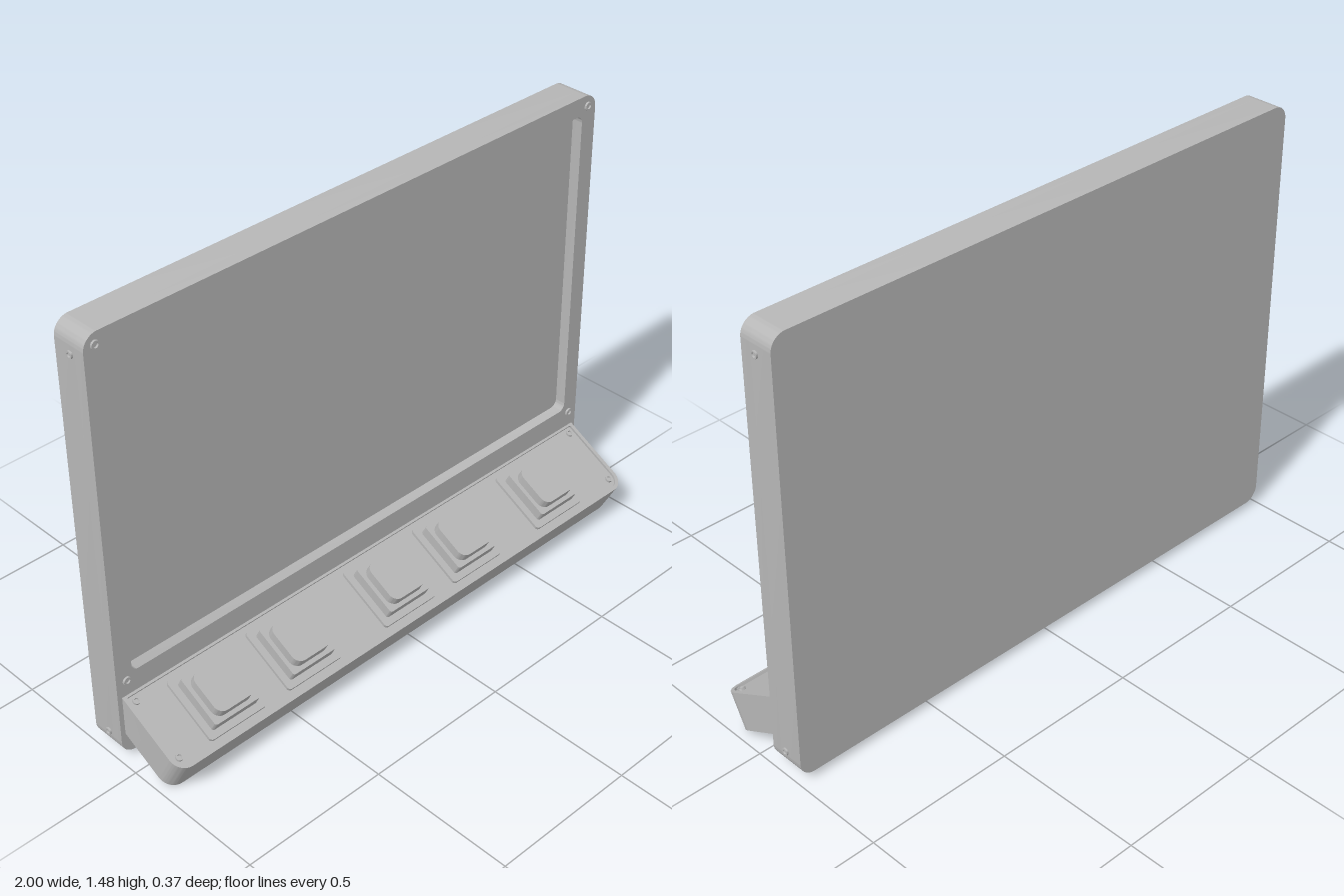
import * as THREE from 'three';
import { toCreasedNormals } from 'three/addons/utils/BufferGeometryUtils.js';

const grey = new THREE.MeshStandardMaterial({ color: 0xb6b6b6 });
grey.name = 'casing grey';

// Rounded rectangle; the top corners (high y) may have their own radius
function roundedRect(x0, y0, x1, y1, r, rTop = r, Type = THREE.Shape) {
  const s = new Type();
  s.moveTo(x0 + r, y0);
  s.lineTo(x1 - r, y0);
  s.absarc(x1 - r, y0 + r, r, -Math.PI / 2, 0);
  s.lineTo(x1, y1 - rTop);
  if (rTop > 0) s.absarc(x1 - rTop, y1 - rTop, rTop, 0, Math.PI / 2);
  s.lineTo(x0 + rTop, y1);
  if (rTop > 0) s.absarc(x0 + rTop, y1 - rTop, rTop, Math.PI / 2, Math.PI);
  s.lineTo(x0, y0 + r);
  s.absarc(x0 + r, y0 + r, r, Math.PI, Math.PI * 1.5);
  return s;
}

// Extrude a shape between two depths along z
function slab(shape, from, to) {
  const g = new THREE.ExtrudeGeometry(shape, { depth: to - from, bevelEnabled: false, curveSegments: 10 });
  g.translate(0, 0, from);
  return toCreasedNormals(g, 0.6);
}

function add(parent, name, geometry) {
  const m = new THREE.Mesh(geometry, grey);
  m.name = name;
  parent.add(m);
  return m;
}

// Small round fastener with its axis along z and a dished head
function screwGeometry(r, h) {
  const pts = [[r, -0.01], [r, h], [r * 0.6, h], [r * 0.5, h * 0.3], [0, h * 0.3]];
  const g = new THREE.LatheGeometry(pts.map(p => new THREE.Vector2(...p)), 16);
  g.rotateX(Math.PI / 2);
  return toCreasedNormals(g, 0.6);
}

export function createModel() {
  const model = new THREE.Group();
  model.name = 'displayWithButtons';

  // Display housing: solid back and a frame around the recessed screen
  const display = new THREE.Group();
  display.name = 'display';
  model.add(display);
  const outline = () => roundedRect(-0.994, 0.023, 0.994, 1.477, 0.05);
  add(display, 'housingBack', slab(outline(), -0.184, -0.1));
  const frame = outline();
  frame.holes.push(roundedRect(-0.935, 0.315, 0.935, 1.415, 0.025, 0.025, THREE.Path));
  add(display, 'screenFrame', slab(frame, -0.1, -0.063));

  // Fasteners on the front corners and on the sides
  for (const side of [-1, 1]) {
    for (const y of [0.295, 1.44])
      add(display, 'frontScrew', screwGeometry(0.014, 0.007)).position.set(side * 0.957, y, -0.063);
    for (const y of [0.085, 1.4]) {
      const s = add(display, 'sideScrew', screwGeometry(0.012, 0.006));
      s.position.set(side * 0.994, y, -0.12);
      s.rotation.y = side * Math.PI / 2;
    }
  }

  // Sloping button tray: local z is the tray normal, local -y runs down the slope
  const tray = new THREE.Group();
  tray.name = 'buttonTray';
  tray.position.set(0, 0.24, -0.063);
  tray.rotation.x = 0.488 - Math.PI / 2;
  model.add(tray);
  const trayOutline = () => roundedRect(-0.978, -0.278, 0.978, 0, 0.05, 0);
  add(tray, 'trayBody', slab(trayOutline(), -0.123, -0.008));
  const rim = trayOutline();
  rim.holes.push(roundedRect(-0.966, -0.266, 0.966, -0.008, 0.038, 0.004, THREE.Path));
  add(tray, 'trayRim', slab(rim, -0.008, 0));
  for (const x of [-0.945, 0.945])
    for (const y of [-0.028, -0.235])
      add(tray, 'trayScrew', screwGeometry(0.012, 0.008)).position.set(x, y, -0.008);

  // Push buttons: mounting plate, stepped base and rounded cap
  const square = (w, r) => roundedRect(-w / 2, -w / 2, w / 2, w / 2, r);
  for (const x of [-0.727, -0.422, -0.017, 0.287, 0.68]) {
    const button = new THREE.Group();
    button.name = 'button';
    button.position.set(x, -0.138, 0);
    add(button, 'mountingPlate', slab(square(0.22, 0.012), -0.008, 0.002));
    add(button, 'buttonBase', slab(square(0.173, 0.008), 0.002, 0.038));
    add(button, 'buttonCap', slab(square(0.145, 0.03), 0.038, 0.071));
    tray.add(button);
  }
  return model;
}
